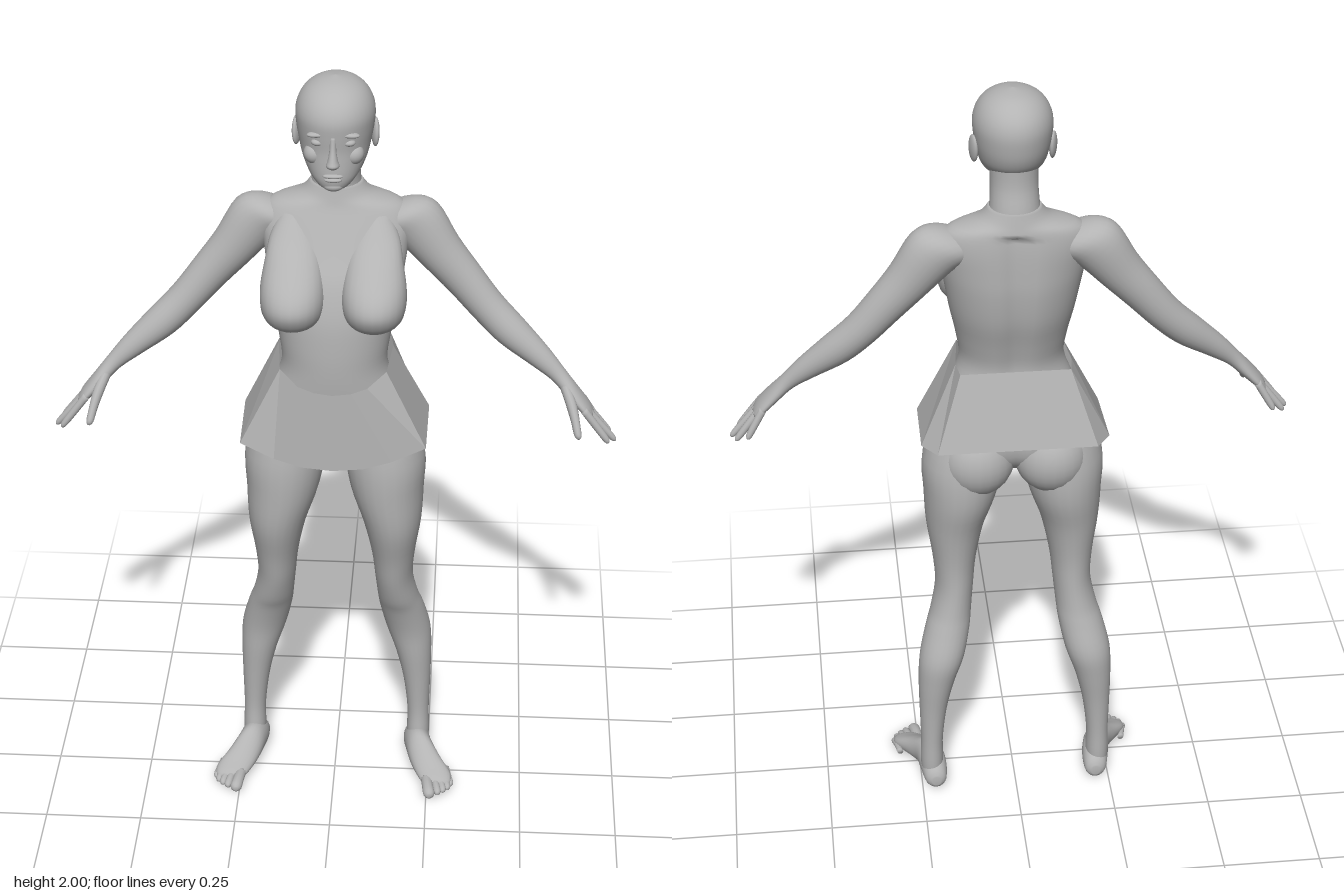
import * as THREE from 'three';

const V = (x, y, z) => new THREE.Vector3(x, y, z);
const X = V(1, 0, 0), Y = V(0, 1, 0), Z = V(0, 0, 1);

// Catmull-Rom interpolation through rows of numbers
function refine(rows, steps) {
  const out = [], n = rows.length - 1;
  for (let i = 0; i < n; i++) {
    const a = rows[Math.max(i - 1, 0)], b = rows[i], c = rows[i + 1], d = rows[Math.min(i + 2, n)];
    for (let s = 0; s < steps; s++) {
      const t = s / steps;
      out.push(b.map((_, k) => 0.5 * (2 * b[k] + (c[k] - a[k]) * t
        + (2 * a[k] - 5 * b[k] + 4 * c[k] - d[k]) * t * t
        + (3 * b[k] - a[k] - 3 * c[k] + d[k]) * t * t * t)));
    }
  }
  out.push(rows[n]);
  return out;
}

// Smooth closed loft through elliptical sections [x, y, z, radiusU, radiusV]
function loft(rows, u, v, { sides = 24, steps = 4, shape } = {}) {
  const secs = refine(rows, steps), pos = [], idx = [], m = secs.length;
  for (const [x, y, z, ru, rv] of secs) {
    for (let j = 0; j < sides; j++) {
      const a = j / sides * Math.PI * 2;
      const p = V(x, y, z).addScaledVector(u, Math.cos(a) * Math.max(ru, 0.001))
        .addScaledVector(v, Math.sin(a) * Math.max(rv, 0.001));
      if (shape) shape(p);
      pos.push(p.x, p.y, p.z);
    }
  }
  const first = V(...secs[0]), last = V(...secs[m - 1]);
  const flip = u.clone().cross(v).dot(last.clone().sub(first)) < 0;
  const tri = (a, b, c) => (flip ? idx.push(a, c, b) : idx.push(a, b, c));
  for (let i = 0; i < m - 1; i++) {
    for (let j = 0; j < sides; j++) {
      const k = (j + 1) % sides, a = i * sides + j, b = i * sides + k;
      tri(a, b, b + sides);
      tri(a, b + sides, a + sides);
    }
  }
  pos.push(first.x, first.y, first.z, last.x, last.y, last.z);
  for (let j = 0; j < sides; j++) {
    const k = (j + 1) % sides, e = (m - 1) * sides;
    tri(m * sides, k, j);
    tri(m * sides + 1, e + j, e + k);
  }
  const g = new THREE.BufferGeometry();
  g.setAttribute('position', new THREE.Float32BufferAttribute(pos, 3));
  g.setIndex(idx);
  g.computeVertexNormals();
  return g;
}

// Rows [y, halfWidth, zFront, zBack] turned into horizontal sections
const upright = rows => rows.map(([y, w, f, b]) => [0, y, (f + b) / 2, w, (f - b) / 2]);

export function createModel() {
  const model = new THREE.Group();
  model.name = 'figure';
  const grey = new THREE.MeshStandardMaterial({ color: 0xb3b3b3 });
  grey.name = 'plain grey';
  const greyFlat = new THREE.MeshStandardMaterial({ color: 0xb3b3b3, flatShading: true, side: THREE.DoubleSide });
  greyFlat.name = 'plain grey cloth';
  const add = (name, geo, mat = grey) => {
    const mesh = new THREE.Mesh(geo, mat);
    mesh.name = name;
    model.add(mesh);
    return mesh;
  };
  const ball = (name, p, r) => {
    const mesh = add(name, new THREE.SphereGeometry(1, 24, 16));
    mesh.position.set(...p);
    mesh.scale.set(...r);
    return mesh;
  };

  // Torso with a shallow spine groove
  add('torso', loft(upright([
    [0.965, 0.03, 0.01, -0.06], [0.99, 0.1, 0.055, -0.1], [1.04, 0.185, 0.09, -0.13],
    [1.12, 0.186, 0.1, -0.13], [1.2, 0.155, 0.11, -0.11], [1.27, 0.13, 0.115, -0.098],
    [1.34, 0.137, 0.115, -0.112], [1.42, 0.153, 0.108, -0.135], [1.5, 0.166, 0.085, -0.146],
    [1.56, 0.175, 0.055, -0.147], [1.62, 0.182, 0.025, -0.145], [1.665, 0.16, 0.003, -0.14],
    [1.69, 0.09, -0.005, -0.135], [1.72, 0.062, -0.012, -0.128],
  ]), X, Z, {
    sides: 48,
    shape: p => { if (p.z < -0.05 && p.y < 1.66) p.z += 0.016 * Math.exp(-((p.x / 0.03) ** 2)); },
  }));

  // Neck and head
  add('neck', loft(upright([
    [1.66, 0.07, -0.005, -0.135], [1.72, 0.06, -0.012, -0.128],
    [1.78, 0.057, 0.0, -0.115], [1.85, 0.06, 0.01, -0.115],
  ]), X, Z));
  add('head', loft(upright([
    [1.75, 0.018, 0.068, 0.02], [1.757, 0.036, 0.076, 0.0], [1.775, 0.054, 0.081, -0.035],
    [1.795, 0.068, 0.082, -0.08], [1.82, 0.079, 0.081, -0.113], [1.85, 0.086, 0.08, -0.13],
    [1.885, 0.092, 0.083, -0.138], [1.92, 0.094, 0.084, -0.14], [1.95, 0.086, 0.072, -0.131],
    [1.975, 0.068, 0.047, -0.11], [1.992, 0.039, 0.012, -0.08], [2.0, 0.002, -0.03, -0.034],
  ]), X, Z, { sides: 36 }));
  add('nose', loft([
    [0, 1.89, 0.075, 0.008, 0.009], [0, 1.86, 0.08, 0.008, 0.011], [0, 1.835, 0.085, 0.012, 0.016],
    [0, 1.822, 0.086, 0.016, 0.019], [0, 1.812, 0.08, 0.009, 0.01],
  ], X, Z, { sides: 16 }));
  ball('upperLip', [0, 1.792, 0.079], [0.024, 0.006, 0.009]);
  ball('lowerLip', [0, 1.782, 0.078], [0.021, 0.006, 0.009]);
  ball('chin', [0, 1.762, 0.064], [0.024, 0.014, 0.016]);

  // Flat-panelled skirt: half outline from front centre to back, [top, bottom]
  const half = [
    [[0, 1.225, 0.118], [0, 1.015, 0.125]], [[0.045, 1.23, 0.116], [0.075, 1.02, 0.121]],
    [[0.085, 1.243, 0.11], [0.145, 1.037, 0.112]], [[0.13, 1.272, 0.075], [0.23, 1.068, 0.092]],
    [[0.142, 1.278, -0.05], [0.233, 1.08, -0.1]], [[0.135, 1.28, -0.105], [0.197, 1.09, -0.163]],
  ];
  const mirrored = half.slice(1).reverse().map(c => c.map(([x, y, z]) => [-x, y, z]));
  const ring = [...half, ...mirrored], cloth = [];
  ring.forEach(([t, b], i) => {
    const [t2, b2] = ring[(i + 1) % ring.length];
    cloth.push(...t, ...b, ...b2, ...t, ...b2, ...t2);
  });
  const skirt = new THREE.BufferGeometry();
  skirt.setAttribute('position', new THREE.Float32BufferAttribute(cloth, 3));
  skirt.computeVertexNormals();
  add('skirt', skirt, greyFlat);

  for (const s of [1, -1]) {
    const side = s > 0 ? 'left' : 'right';
    const part = (name, rows, u, v, o) =>
      add(side + name, loft(rows.map(([x, ...r]) => [s * x, ...r]), u, v, o));

    // Face details
    ball(side + 'Eye', [s * 0.036, 1.872, 0.064], [0.016, 0.009, 0.014]);
    ball(side + 'Brow', [s * 0.036, 1.892, 0.066], [0.026, 0.007, 0.013]).rotation.z = s * -0.08;
    ball(side + 'Cheek', [s * 0.045, 1.835, 0.043], [0.026, 0.026, 0.026]);
    const ear = ball(side + 'Ear', [s * 0.093, 1.855, -0.042], [0.009, 0.036, 0.021]);
    ear.rotation.set(-0.15, s * 0.3, 0);

    // Chest
    part('Chest', [
      [0.1, 1.65, -0.03, 0.03, 0.025], [0.1, 1.6, 0.0, 0.055, 0.04], [0.098, 1.55, 0.035, 0.068, 0.06],
      [0.098, 1.5, 0.06, 0.077, 0.087], [0.098, 1.46, 0.07, 0.078, 0.095], [0.098, 1.425, 0.075, 0.07, 0.078],
      [0.098, 1.403, 0.08, 0.048, 0.05], [0.098, 1.395, 0.085, 0.012, 0.012],
    ], X, Z);

    // Hips and legs
    ball(side + 'Hip', [s * 0.092, 1.015, -0.065], [0.093, 0.1, 0.086]);
    part('Leg', [
      [0.115, 1.12, -0.015, 0.07, 0.09], [0.126, 1.0, -0.018, 0.1, 0.113], [0.132, 0.9, -0.018, 0.093, 0.115],
      [0.146, 0.8, -0.012, 0.074, 0.1], [0.15, 0.7, -0.02, 0.056, 0.08], [0.152, 0.62, -0.03, 0.049, 0.071],
      [0.162, 0.55, -0.045, 0.052, 0.064], [0.173, 0.5, -0.062, 0.057, 0.059], [0.191, 0.42, -0.083, 0.058, 0.058],
      [0.206, 0.34, -0.084, 0.047, 0.051], [0.216, 0.25, -0.083, 0.036, 0.041], [0.221, 0.15, -0.083, 0.029, 0.035],
      [0.222, 0.08, -0.08, 0.03, 0.038], [0.222, 0.04, -0.08, 0.028, 0.036],
    ], X, Z);

    // Foot and toes
    part('Foot', [
      [0.214, 0.03, -0.131, 0.012, 0.014], [0.215, 0.034, -0.118, 0.028, 0.031], [0.219, 0.046, -0.075, 0.035, 0.046],
      [0.228, 0.05, -0.03, 0.036, 0.048], [0.246, 0.037, 0.01, 0.042, 0.036], [0.268, 0.024, 0.05, 0.046, 0.024],
      [0.277, 0.017, 0.08, 0.036, 0.015], [0.279, 0.014, 0.09, 0.015, 0.008],
    ], X, Y);
    const toes = [[0.25, 0.258, 0.133, 0.015], [0.27, 0.28, 0.122, 0.01], [0.283, 0.294, 0.112, 0.0095],
      [0.294, 0.306, 0.1, 0.009], [0.302, 0.314, 0.083, 0.0085]];
    toes.forEach(([x0, x1, z, r], i) => part('Toe' + (i + 1), [
      [x0, 0.018, z - 0.065, r, r], [(x0 + x1) / 2, 0.018, z - 0.035, r, r * 0.95],
      [x1, 0.012, z - 0.01, r, r], [x1, 0.011, z, r * 0.35, r * 0.4],
    ], X, Y, { sides: 12 }));

    // Arm running down and outwards into the palm
    const across = V(s * 0.73, 0.68, 0);
    part('Arm', [
      [0.1, 1.632, -0.07, 0.03, 0.03], [0.145, 1.63, -0.072, 0.055, 0.062], [0.195, 1.607, -0.075, 0.057, 0.068],
      [0.255, 1.53, -0.07, 0.051, 0.056], [0.31, 1.465, -0.065, 0.047, 0.049], [0.37, 1.394, -0.055, 0.045, 0.044],
      [0.43, 1.335, -0.04, 0.042, 0.042], [0.5, 1.277, -0.022, 0.031, 0.031], [0.55, 1.232, -0.009, 0.024, 0.021],
      [0.585, 1.193, 0.003, 0.034, 0.018], [0.618, 1.156, 0.009, 0.039, 0.014], [0.634, 1.138, 0.01, 0.032, 0.008],
    ], Z, across);

    // Fingers and thumb
    const fingers = [[-0.022, 0.657, 1.088, -0.036], [-0.002, 0.686, 1.07, -0.012],
      [0.019, 0.698, 1.064, 0.018], [0.039, 0.68, 1.074, 0.047]];
    fingers.forEach(([z0, x, y, z], i) => {
      const at = (t, r) => [0.615 + (x - 0.615) * t, 1.16 + (y - 1.16) * t, z0 + (z - z0) * t, r, r];
      part('Finger' + (i + 1), [at(0, 0.01), at(0.5, 0.0095), at(0.9, 0.008), at(1, 0.003)],
        Z, across, { sides: 12 });
    });
    part('Thumb', [
      [0.565, 1.213, 0.004, 0.016, 0.014], [0.582, 1.18, 0.04, 0.016, 0.014], [0.594, 1.145, 0.07, 0.013, 0.011],
      [0.601, 1.118, 0.092, 0.01, 0.009], [0.603, 1.11, 0.097, 0.003, 0.003],
    ], V(0, 0.66, 0.75), X, { sides: 12 });
  }
  return model;
}
